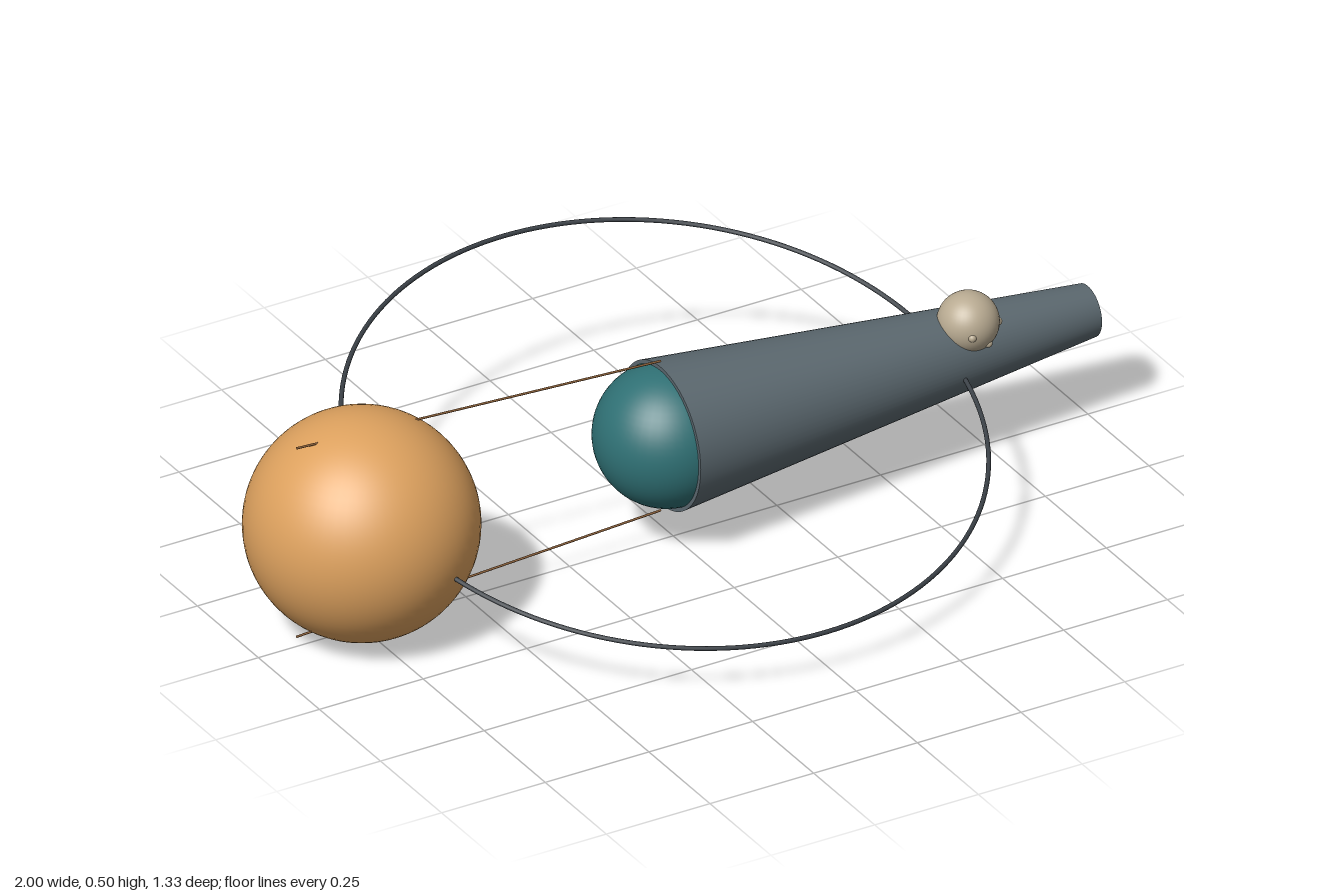
import * as THREE from 'three';

const AXIS_Y = 0.251;

function material(name, color) {
  const m = new THREE.MeshStandardMaterial({ color });
  m.name = name;
  return m;
}

export function createModel() {
  const model = new THREE.Group();
  model.name = 'ringedCraft';

  const amber = material('amber', 0xdda15e);
  const slate = material('slate grey', 0x5c6970);
  const teal = material('teal', 0x2f7074);
  const sand = material('sand', 0xb9ab92);
  const dark = material('dark steel', 0x3a4046);
  const brown = material('brown', 0x8a5f38);

  const add = (name, geometry, mat, x, y, z, parent = model) => {
    const mesh = new THREE.Mesh(geometry, mat);
    mesh.name = name;
    mesh.position.set(x, y, z);
    parent.add(mesh);
    return mesh;
  };

  // Large sphere and the tapered body with its domed end
  add('largeSphere', new THREE.SphereGeometry(0.249, 64, 40), amber, -0.751, AXIS_Y, 0);
  const body = add('taperedBody', new THREE.CylinderGeometry(0.058, 0.164, 1.03, 64), slate, 0.485, AXIS_Y, 0);
  body.rotation.z = -Math.PI / 2;
  add('domeEnd', new THREE.SphereGeometry(0.156, 48, 32), teal, -0.016, AXIS_Y, 0);

  // Thin ring, tilted down towards the front
  const ring = add('orbitRing', new THREE.TorusGeometry(0.677, 0.005, 10, 160), dark, -0.02, AXIS_Y + 0.001, 0);
  ring.rotation.x = Math.PI / 2 + 0.219;

  // Straight stays running through the large sphere, above and below
  for (const side of [1, -1]) {
    const path = new THREE.LineCurve3(
      new THREE.Vector3(-0.91, side * 0.226, 0),
      new THREE.Vector3(-0.03, side * 0.179, 0)
    );
    add(side > 0 ? 'upperStay' : 'lowerStay',
      new THREE.TubeGeometry(path, 1, 0.0025, 8), brown, 0, AXIS_Y, 0);
  }

  // Small pod on the body, studded around its lower half
  const pod = new THREE.Group();
  pod.name = 'smallPod';
  pod.position.set(0.69, 0.333, 0.036);
  model.add(pod);
  add('podSphere', new THREE.SphereGeometry(0.066, 40, 28), sand, 0, 0, 0, pod);
  const stud = new THREE.SphereGeometry(0.009, 14, 10);
  for (let i = 0; i < 8; i++) {
    const a = (i + 0.5) * Math.PI / 4;
    const y = i % 2 ? -0.035 : -0.005;
    const r = Math.sqrt(0.063 ** 2 - y * y);
    add('podStud', stud, sand, Math.cos(a) * r, y, Math.sin(a) * r, pod);
  }

  return model;
}
